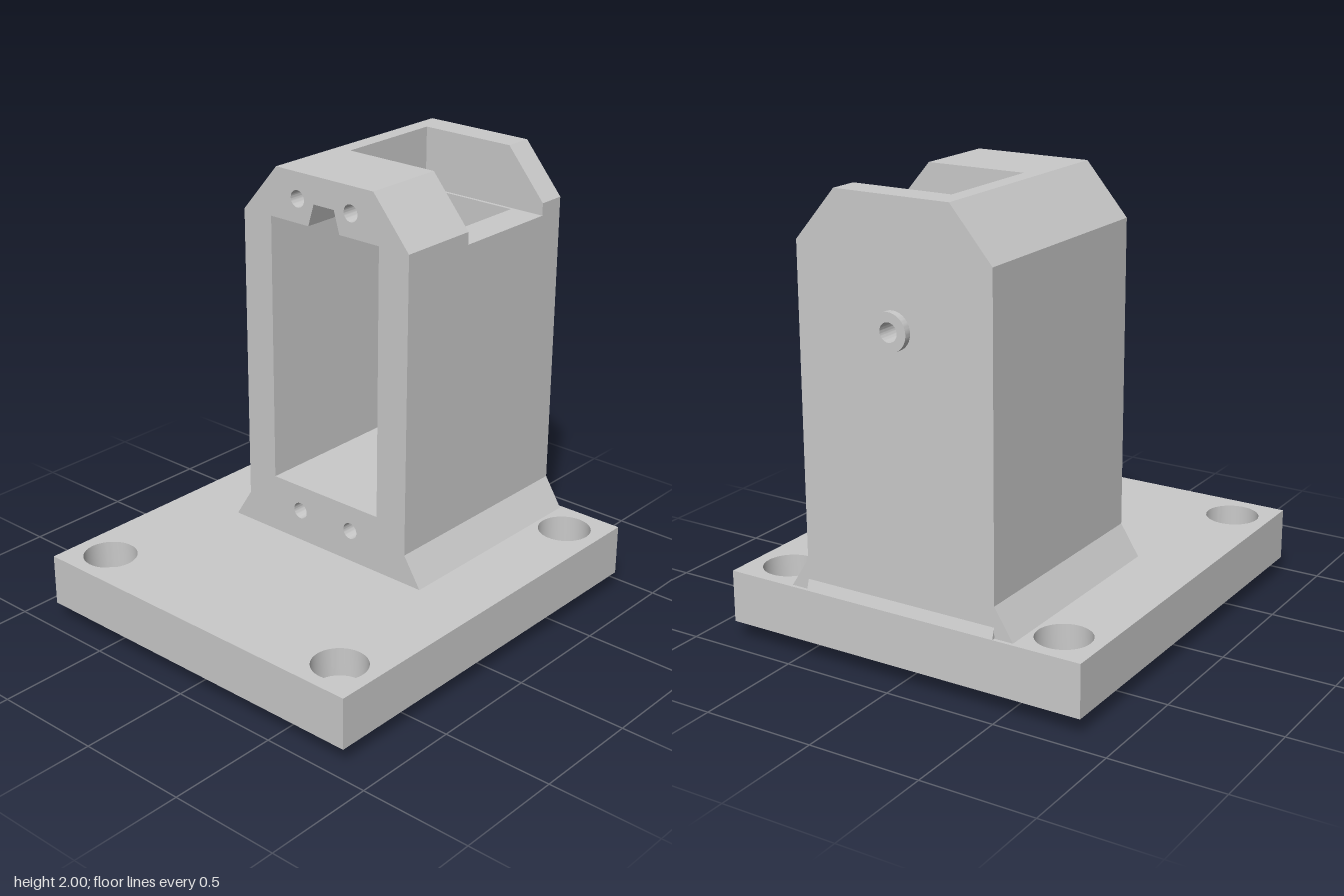
import * as THREE from 'three';
import { toCreasedNormals } from 'three/addons/utils/BufferGeometryUtils.js';

const grey = new THREE.MeshStandardMaterial({ color: 0xcacaca });
grey.name = 'grey';

function circle(u, v, r) {
  return new THREE.Path().absarc(u, v, r, 0, Math.PI * 2, true);
}

function makeMesh(name, geometry) {
  const mesh = new THREE.Mesh(toCreasedNormals(geometry, 0.3), grey);
  mesh.name = name;
  return mesh;
}

function extrude(shape, depth) {
  return new THREE.ExtrudeGeometry(shape, { depth, bevelEnabled: false, curveSegments: 32 });
}

// Cross-section given as [z, y] points, reversed so the mirrored outline stays counter-clockwise
const section = (points) => points.map(([z, y]) => new THREE.Vector2(-z, y)).reverse();

// Sweep a cross-section shape along x from x0 to x1
function sweepX(name, x0, x1, shape, holes = []) {
  shape.holes.push(...holes);
  return makeMesh(name, extrude(shape, x1 - x0).rotateY(Math.PI / 2).translate(x0, 0, 0));
}

// Plan outline in x and z, from height y0 up to y1
function plate(name, x0, x1, z0, z1, y0, y1, holes = []) {
  const shape = new THREE.Shape([[x0, z0], [x1, z0], [x1, z1], [x0, z1]].map((p) => new THREE.Vector2(...p)));
  shape.holes.push(...holes);
  return makeMesh(name, extrude(shape, y1 - y0).rotateX(Math.PI / 2).translate(0, y1, 0));
}

export function createModel() {
  const model = new THREE.Group();
  model.name = 'mountingBracket';

  // Base plate with counterbored corner holes, and the locating boss below
  const corners = [];
  for (const x of [-0.765, 0.75]) for (const z of [-0.67, 0.67]) corners.push([x, z]);
  const cornerHoles = (r) => corners.map(([x, z]) => circle(x, z, r));
  const base = new THREE.Group();
  base.name = 'basePlate';
  base.add(
    plate('plateLower', -0.94, 0.923, -0.843, 0.843, 0.081, 0.185, cornerHoles(0.065)),
    plate('plateUpper', -0.94, 0.923, -0.843, 0.843, 0.185, 0.312, cornerHoles(0.118)),
    plate('locatingBoss', -0.61, 0.595, -0.458, 0.458, 0, 0.081),
  );
  model.add(base);

  // Housing sections: flared foot, straight walls, chamfered top
  const footAndFront = [[-0.535, 0.312], [0.535, 0.312], [0.45, 0.446]];
  const back = [[-0.263, 2], [-0.45, 1.781], [-0.45, 0.446]];
  const profile = (middle) => new THREE.Shape(section([...footAndFront, ...middle, ...back]));
  const outer = () => profile([[0.45, 1.781], [0.263, 2]]);
  const cavity = () => new THREE.Path(section([
    [-0.295, 0.575], [0.295, 0.575], [0.295, 1.781], [0.085, 1.781],
    [0.055, 1.88], [-0.055, 1.88], [-0.085, 1.781], [-0.295, 1.781],
  ]));
  const screwHoles = [];
  for (const z of [-0.145, 0.145]) for (const y of [0.455, 1.885]) screwHoles.push(circle(z, y, 0.037));
  const pinHole = () => circle(0, 1.478, 0.04);

  const housing = new THREE.Group();
  housing.name = 'housing';
  housing.add(
    // Open side with blind screw holes
    sweepX('openSide', -0.11, 0.14, outer(), [cavity(), ...screwHoles]),
    sweepX('roofedSection', 0.14, 0.268, outer(), [cavity()]),
    // Slot cut through the roof and front wall
    sweepX('slottedSection', 0.268, 0.765, profile([
      [0.45, 1.726], [0.295, 1.726], [0.295, 0.575], [-0.295, 0.575],
      [-0.295, 1.781], [-0.19, 1.781], [-0.19, 2],
    ])),
    sweepX('slotLedge', 0.765, 0.78, profile([[0.45, 1.726], [-0.19, 1.726], [-0.19, 2]]), [pinHole()]),
    sweepX('endWall', 0.78, 0.907, outer(), [pinHole()]),
  );
  model.add(housing);

  // Raised collar around the hole in the end wall
  const ring = new THREE.Shape().absarc(0, 1.478, 0.08, 0, Math.PI * 2, false);
  model.add(sweepX('holeCollar', 0.907, 0.938, ring, [pinHole()]));

  // Small fillet wedge at the foot of the end wall
  const wedge = new THREE.Shape([[0.9, 0.312], [0.922, 0.312], [0.907, 0.358], [0.9, 0.358]]
    .map((p) => new THREE.Vector2(...p)));
  model.add(makeMesh('footFillet', extrude(wedge, 0.9).translate(0, 0, -0.45)));

  return model;
}
